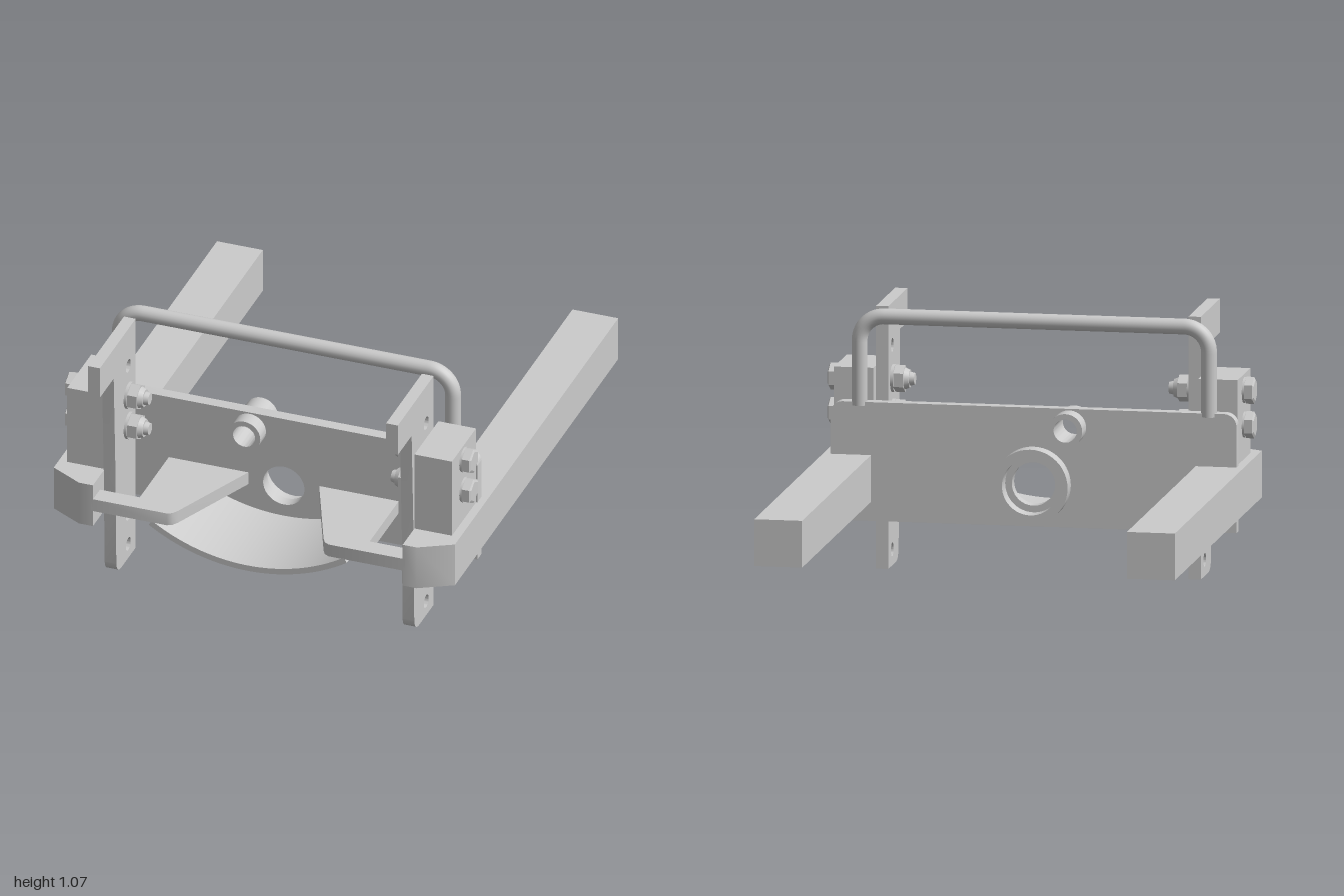
import * as THREE from 'three';
import { toCreasedNormals } from 'three/addons/utils/BufferGeometryUtils.js';

const material = new THREE.MeshStandardMaterial({ color: 0xcccccc });

function add(parent, name, geometry) {
  const mesh = new THREE.Mesh(geometry, material);
  mesh.name = name;
  parent.add(mesh);
  return mesh;
}

// Extrusion along z from z0 by depth, with smooth curved walls
function extrude(shape, depth, z0 = 0) {
  const g = new THREE.ExtrudeGeometry(shape, { depth, bevelEnabled: false, curveSegments: 24 });
  return toCreasedNormals(g, 0.6).translate(0, 0, z0);
}

// Outline drawn in (x, z), laid flat between two heights
function flat(points, y0, y1) {
  return extrude(new THREE.Shape(points), y1 - y0).rotateX(Math.PI / 2).translate(0, y1, 0);
}

function circleHole(shape, x, y, r) {
  shape.holes.push(new THREE.Path().absarc(x, y, r, 0, Math.PI * 2, true));
}

function ring(x, y, outer, inner) {
  const s = new THREE.Shape().absarc(x, y, outer, 0, Math.PI * 2, false);
  circleHole(s, x, y, inner);
  return s;
}

// Upright hook plate, drawn in (z, y) and extruded across x
function hookPlateGeometry() {
  const s = new THREE.Shape();
  s.moveTo(0.59, 0);
  s.lineTo(0.75, 0);
  s.quadraticCurveTo(0.81, 0, 0.812, 0.06);
  s.lineTo(0.82, 0.45);
  s.lineTo(0.842, 0.93);
  s.lineTo(1, 0.93);
  s.lineTo(1, 1.067);
  s.lineTo(0.59, 1.067);
  s.closePath();
  for (const y of [0.065, 0.205, 0.895]) circleHole(s, 0.675, y, 0.028);
  return extrude(s, 0.05).rotateY(-Math.PI / 2).translate(0.025, 0, 0);
}

// Bolt along +y, head at the top; y = 0 is the outer clamping face
function bolt() {
  const g = new THREE.Group();
  g.name = 'bolt';
  const hex = (name, top, bottom, h, y) =>
    add(g, name, new THREE.CylinderGeometry(top, bottom, h, 6).toNonIndexed()).position.set(0, y, 0);
  const round = (name, top, bottom, h, y) =>
    add(g, name, new THREE.CylinderGeometry(top, bottom, h, 24)).position.set(0, y, 0);
  round('boltWasher', 0.052, 0.052, 0.01, 0.005);
  hex('boltHead', 0.055, 0.055, 0.032, 0.026);
  hex('boltHeadChamfer', 0.044, 0.055, 0.005, 0.0445);
  round('nutWasher', 0.056, 0.056, 0.012, -0.216);
  hex('nut', 0.055, 0.055, 0.04, -0.242);
  round('nutCollar', 0.044, 0.036, 0.02, -0.272);
  round('boltEnd', 0.028, 0.024, 0.02, -0.292);
  g.traverse((o) => {
    if (o.isMesh && !o.geometry.index) o.geometry.computeVertexNormals();
  });
  return g;
}

function createSide(s) {
  const side = new THREE.Group();
  side.name = s > 0 ? 'leftSide' : 'rightSide';
  const mirrored = (pts) => pts.map(([x, z]) => new THREE.Vector2(s * x, z));

  // Long square arm with a chamfered front corner
  add(side, 'arm', flat(mirrored([
    [0.66, -1], [0.855, -1], [0.855, 0.87], [0.72, 0.945], [0.66, 0.945],
  ]), 0.29, 0.48));

  // Horizontal web reaching from the arm to the middle
  add(side, 'web', flat(mirrored([
    [0.67, 0.865], [0.67, 0.945], [0.345, 0.945], [0.325, 0.935], [0.31, 0.91],
    [0.15, 0.53], [0.49, 0.53], [0.49, 0.865],
  ]), 0.36, 0.415));

  // Clamping block on top of the arm
  add(side, 'mountBlock', new THREE.BoxGeometry(0.16, 0.345, 0.275))
    .position.set(s * 0.74, 0.6525, 0.6725);

  add(side, 'hookPlate', hookPlateGeometry()).position.x = s * 0.635;

  for (const y of [0.62, 0.76]) {
    const b = bolt();
    b.position.set(s * 0.819, y, 0.675);
    b.rotation.z = -s * Math.PI / 2;
    // Turn the hexagon so a corner points up
    b.children.forEach((m) => { m.rotation.y = Math.PI / 2; });
    side.add(b);
  }
  return side;
}

// Rear cross plate with rounded top corners and a centre hole
function backPlateShape() {
  const s = new THREE.Shape();
  const w = 0.825, r = 0.05;
  s.moveTo(-w, 0.213);
  s.lineTo(w, 0.213);
  s.lineTo(w, 0.695 - r);
  s.absarc(w - r, 0.695 - r, r, 0, Math.PI / 2, false);
  s.lineTo(-w + r, 0.695);
  s.absarc(-w + r, 0.695 - r, r, Math.PI / 2, Math.PI, false);
  s.closePath();
  circleHole(s, 0, 0.385, 0.088);
  circleHole(s, -0.145, 0.62, 0.05);
  return s;
}

// Bent round bar
function handleGeometry() {
  const path = new THREE.CurvePath();
  const v = (x, y) => new THREE.Vector3(x, y, 0.502);
  const x = 0.71, y = 1.042, r = 0.1, k = r * 0.448;
  path.add(new THREE.LineCurve3(v(-x, 0.68), v(-x, y - r)));
  path.add(new THREE.CubicBezierCurve3(v(-x, y - r), v(-x, y - k), v(-x + k, y), v(-x + r, y)));
  path.add(new THREE.LineCurve3(v(-x + r, y), v(x - r, y)));
  path.add(new THREE.CubicBezierCurve3(v(x - r, y), v(x - k, y), v(x, y - k), v(x, y - r)));
  path.add(new THREE.LineCurve3(v(x, y - r), v(x, 0.68)));
  return new THREE.TubeGeometry(path, 160, 0.032, 20, false);
}

// Curved trough, an arc band hanging below the webs
function troughShape() {
  const cy = 0.99, a = 0.58, mid = -Math.PI / 2;
  const s = new THREE.Shape();
  s.absarc(0, cy, 0.77, mid - a, mid + a, false);
  s.absarc(0, cy, 0.745, mid + a, mid - a, true);
  s.closePath();
  return s;
}

export function createModel() {
  const model = new THREE.Group();
  model.name = 'carrierFrame';

  add(model, 'backPlate', extrude(backPlateShape(), 0.05, 0.483));
  add(model, 'rearCollar', extrude(ring(0, 0.385, 0.152, 0.115), 0.07, 0.413));
  add(model, 'sleeve', extrude(ring(-0.145, 0.62, 0.069, 0.047), 0.2, 0.398));
  add(model, 'trough', extrude(troughShape(), 0.415, 0.53));
  add(model, 'handle', handleGeometry());

  for (const s of [-1, 1]) model.add(createSide(s));
  return model;
}
